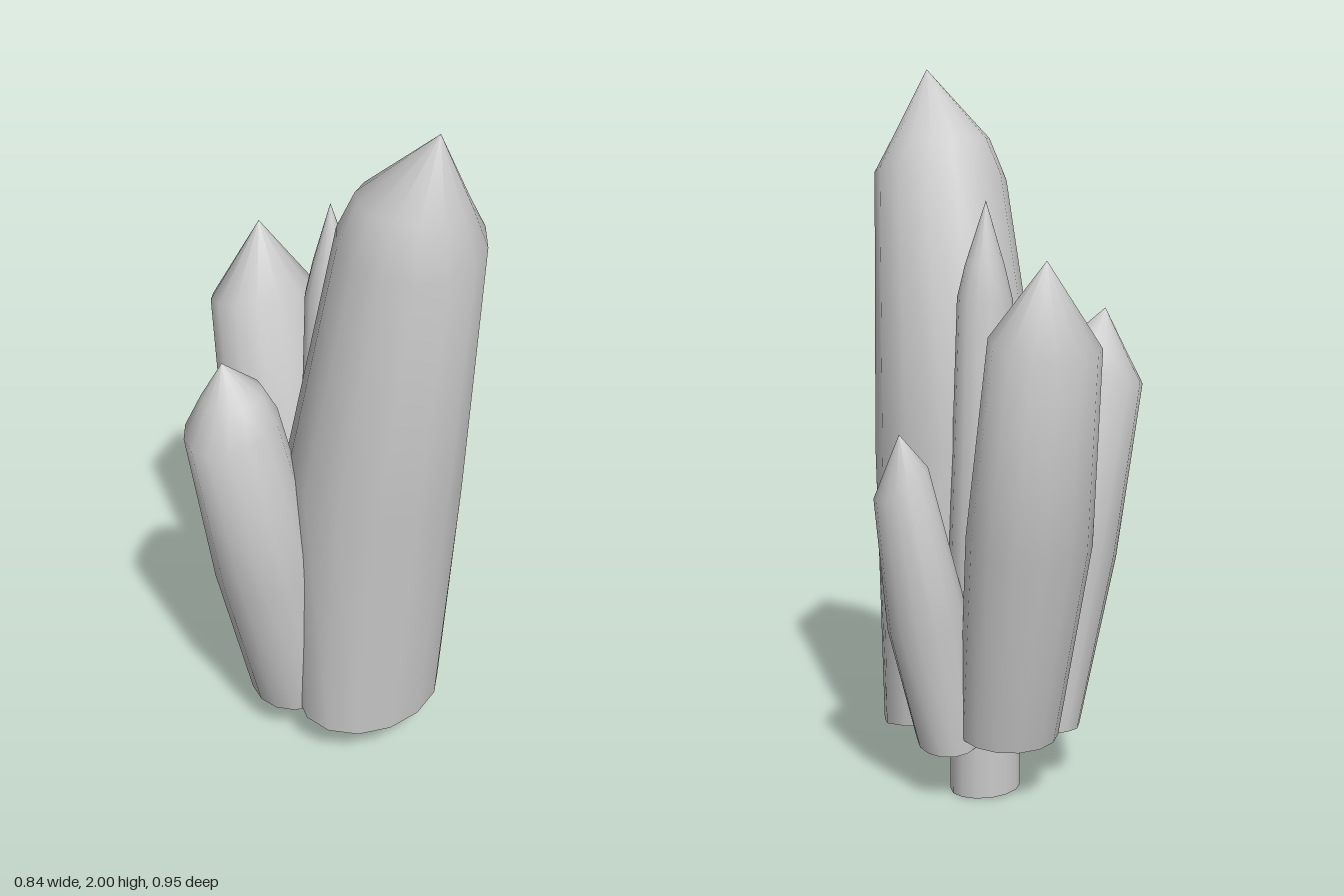
import * as THREE from 'three';
import { toCreasedNormals } from 'three/addons/utils/BufferGeometryUtils.js';

const SIDES = 14;

// Crystal from cross-sections [x, y, z, radiusX, radiusZ, slopeX, slopeZ];
// the slopes tilt a ring, so y changes across it. A closed base and a point are added.
function crystalGeometry(rings, apex) {
  const base = rings[0];
  const sections = [[base[0], base[1], base[2], 0, 0], ...rings, [...apex, 0, 0]];
  const positions = [];
  const index = [];
  sections.forEach(([x, y, z, rx, rz, sx = 0, sz = 0]) => {
    for (let i = 0; i < SIDES; i++) {
      const a = ((i + 0.5) / SIDES) * Math.PI * 2 + Math.PI / 2;
      const dx = Math.cos(a) * rx;
      const dz = Math.sin(a) * rz;
      positions.push(x + dx, y + dx * sx + dz * sz, z + dz);
    }
  });
  const last = sections.length - 1;
  for (let s = 0; s < last; s++) {
    for (let i = 0; i < SIDES; i++) {
      const j = (i + 1) % SIDES;
      const lo = s * SIDES;
      const up = lo + SIDES;
      if (s < last - 1) index.push(lo + i, up + i, up + j);
      if (s > 0) index.push(lo + i, up + j, lo + j);
    }
  }
  const geometry = new THREE.BufferGeometry();
  geometry.setAttribute('position', new THREE.Float32BufferAttribute(positions, 3));
  geometry.setIndex(index);
  return toCreasedNormals(geometry, Math.PI / 3);
}

const CRYSTALS = {
  // Largest crystal, leaning forward
  mainCrystal: {
    rings: [
      [0.062, 0.155, 0.165, 0.235, 0.168, 0, -0.15],
      [0.06, 0.95, 0.168, 0.24, 0.248, 0, -0.12],
      [0.06, 1.7, 0.29, 0.186, 0.192, 0.13, -0.13],
      [0.055, 1.805, 0.298, 0.135, 0.153, 0, 0],
    ],
    apex: [0.06, 2, 0.38],
  },
  // Leaning toward -x
  rightCrystal: {
    rings: [
      [-0.1, 0.155, 0.005, 0.122, 0.135, 0.12, 0],
      [-0.19, 0.65, 0.012, 0.152, 0.153, 0.2, 0],
      [-0.295, 1.15, 0, 0.126, 0.125, 0.28, 0],
      [-0.285, 1.23, -0.005, 0.083, 0.085, 0.2, 0],
    ],
    apex: [-0.31, 1.335, -0.01],
  },
  // Leaning backward
  backCrystal: {
    rings: [
      [0.06, 0.185, -0.135, 0.14, 0.125, 0, 0.13],
      [0.058, 0.75, -0.25, 0.172, 0.155, 0, 0.2],
      [0.063, 1.285, -0.345, 0.15, 0.136, 0, 0.26],
    ],
    apex: [0.065, 1.495, -0.355],
  },
  // Short crystal leaning toward +x
  leftCrystal: {
    rings: [
      [0.205, 0.16, -0.05, 0.085, 0.088, -0.1, 0.2],
      [0.262, 0.5, -0.047, 0.11, 0.111, -0.2, 0],
      [0.347, 0.9, -0.066, 0.07, 0.086, -0.6, -0.15],
    ],
    apex: [0.35, 1.03, -0.065],
  },
  // Slim upright crystal whose lower end forms the foot
  centreCrystal: {
    rings: [
      [0.09, 0.005, -0.048, 0.1, 0.089, -0.04, 0],
      [0.095, 0.7, -0.06, 0.1, 0.089],
      [0.1, 1.38, -0.073, 0.076, 0.069, 0, 0.1],
      [0.1, 1.47, -0.072, 0.053, 0.052],
    ],
    apex: [0.1, 1.64, -0.08],
  },
};

export function createModel() {
  const group = new THREE.Group();
  group.name = 'crystalCluster';
  const material = new THREE.MeshStandardMaterial({ color: 0xcccccc });
  for (const [name, { rings, apex }] of Object.entries(CRYSTALS)) {
    const mesh = new THREE.Mesh(crystalGeometry(rings, apex), material);
    mesh.name = name;
    group.add(mesh);
  }
  return group;
}
